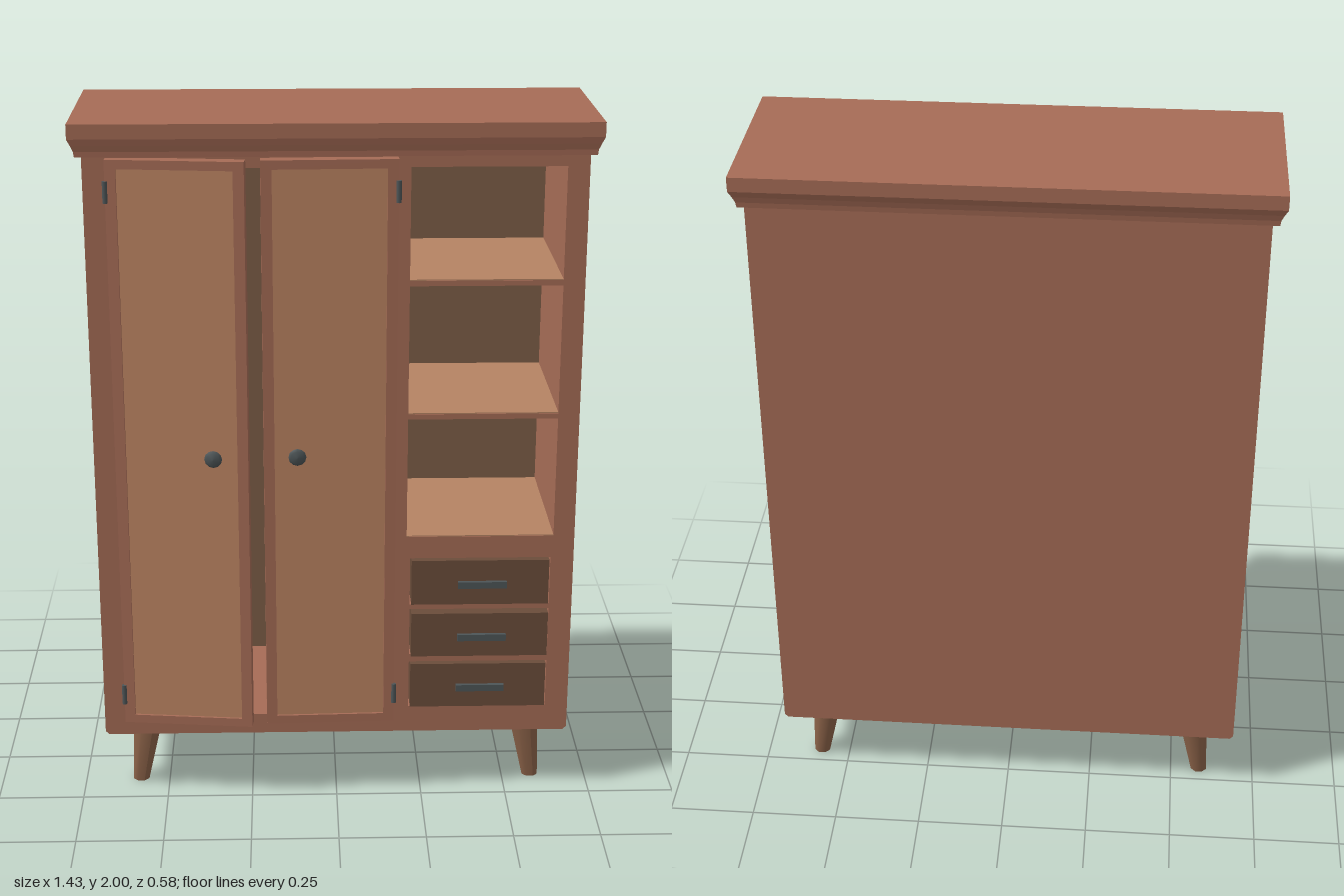
import * as THREE from 'three';

const mat = (color, side = THREE.FrontSide) => new THREE.MeshStandardMaterial({ color, side });
const WOOD = mat(0xa66c56);
const PANEL = mat(0xbd8563);
const SHELF = mat(0xb58363);
const BACK = mat(0x7d5e48);
const DRAWER = mat(0x6b4d3b);
const LEG = mat(0x8c6349);
const METAL = mat(0x4d5557);

function add(parent, name, geometry, material, x = 0, y = 0, z = 0) {
  const mesh = new THREE.Mesh(geometry, material);
  mesh.name = name;
  mesh.position.set(x, y, z);
  parent.add(mesh);
  return mesh;
}

// Box given by its limits on each axis
function box(parent, name, material, [x0, x1], [y0, y1], [z0, z1]) {
  return add(parent, name, new THREE.BoxGeometry(x1 - x0, y1 - y0, z1 - z0), material,
    (x0 + x1) / 2, (y0 + y1) / 2, (z0 + z1) / 2);
}

const rect = (x0, x1, y0, y1) => [[x0, y0], [x1, y0], [x1, y1], [x0, y1]].map(p => new THREE.Vector2(...p));

// Plate with rectangular openings, extruded along z
function plate(outline, holes, depth) {
  const shape = new THREE.Shape(outline);
  holes.forEach(h => shape.holes.push(new THREE.Path(rect(...h).reverse())));
  return new THREE.ExtrudeGeometry(shape, { depth, bevelEnabled: false });
}

// Moulded slab: rectangular loops [x0, x1, z0, z1, y] joined from bottom to top
function crownGeometry(loops) {
  const pos = [];
  const corners = loops.map(([x0, x1, z0, z1, y]) => [[x0, y, z1], [x1, y, z1], [x1, y, z0], [x0, y, z0]]);
  const quad = (a, b, c, d) => [a, b, c, a, c, d].forEach(p => pos.push(...p));
  for (let i = 0; i < corners.length - 1; i++) {
    for (let k = 0; k < 4; k++) {
      const n = (k + 1) % 4;
      quad(corners[i][k], corners[i][n], corners[i + 1][n], corners[i + 1][k]);
    }
  }
  const top = corners[corners.length - 1];
  quad(top[0], top[1], top[2], top[3]);
  const low = corners[0];
  quad(low[3], low[2], low[1], low[0]);
  const g = new THREE.BufferGeometry();
  g.setAttribute('position', new THREE.Float32BufferAttribute(pos, 3));
  g.computeVertexNormals();
  return g;
}

// Door hung at its hinge edge; dir is the direction in which it extends
function door(parent, name, hingeX, hingeZ, width, dir, angle, knobOffset) {
  const g = new THREE.Group();
  g.name = name;
  g.position.set(hingeX, 0, hingeZ);
  g.rotation.y = -dir * angle;
  const x0 = dir > 0 ? 0 : -width, x1 = x0 + width;
  const y0 = 0.24, y1 = 1.908, t = 0.035, rim = 0.03, lip = 0.025;
  add(g, 'doorFrame', plate(rect(x0, x1, y0, y1), [[x0 + rim, x1 - rim, y0 + lip, y1 - lip]], t), WOOD);
  box(g, 'doorPanel', PANEL, [x0 + rim, x1 - rim], [y0 + lip, y1 - lip], [0.006, t - 0.007]);
  const profile = [[0, 0], [0.016, 0], [0.009, 0.006], [0.009, 0.012], [0.022, 0.017], [0.025, 0.023], [0.018, 0.029], [0, 0.031]];
  const knob = add(g, 'doorKnob', new THREE.LatheGeometry(profile.map(p => new THREE.Vector2(...p)), 12),
    METAL, dir * knobOffset, 1.075, t - 0.008);
  knob.rotation.x = Math.PI / 2;
  for (const y of [0.33, 1.82]) {
    add(g, 'hinge', new THREE.CylinderGeometry(0.007, 0.007, 0.06, 8), METAL, 0, y, t);
  }
  parent.add(g);
}

export function createModel() {
  const model = new THREE.Group();
  model.name = 'wardrobe';

  const shelves = [[0.81, 1.165], [1.18, 1.55], [1.565, 1.88]];
  const drawers = [[0.275, 0.413, 0.226], [0.445, 0.58, 0.24], [0.603, 0.74, 0.226]];

  // Carcass with the door, shelf and drawer openings
  const c = 0.01;
  const outline = [[-0.68 + c, 0.19], [0.68 - c, 0.19], [0.68, 0.19 + c], [0.68, 1.915], [-0.68, 1.915], [-0.68, 0.19 + c]]
    .map(p => new THREE.Vector2(...p));
  const holes = [
    [-0.605, 0.155, 0.25, 1.88],
    ...shelves.map(([a, b]) => [0.2, 0.62, a, b]),
    ...drawers.map(([a, b]) => [0.211, 0.614, a - 0.004, b + 0.004]),
  ];
  add(model, 'carcass', plate(outline, holes, 0.465), WOOD, 0, 0, -0.25);
  add(model, 'backPanel', plate(outline, [], 0.025), WOOD, 0, 0, -0.275);

  // Linings of the open shelves and of the closet
  for (const [a, b] of shelves) {
    box(model, 'shelfBack', BACK, [0.2, 0.62], [a, b], [-0.25, -0.245]);
    box(model, 'shelfFloor', SHELF, [0.2, 0.62], [a, a + 0.003], [-0.245, 0.213]);
  }
  box(model, 'closetBack', BACK, [-0.605, 0.155], [0.25, 1.88], [-0.25, -0.245]);

  // Crown moulding
  add(model, 'crown', crownGeometry([
    [-0.698, 0.698, -0.281, 0.217, 1.91],
    [-0.7, 0.7, -0.283, 0.218, 1.925],
    [-0.707, 0.707, -0.288, 0.222, 1.942],
    [-0.716, 0.716, -0.295, 0.226, 1.96],
    [-0.716, 0.716, -0.295, 0.226, 2],
  ]), WOOD);

  // Doors, both slightly ajar
  door(model, 'rightDoor', -0.615, 0.2, 0.374, 1, 0.108, 0.278);
  door(model, 'leftDoor', 0.165, 0.21, 0.37, -1, 0.03, 0.277);

  // Drawers with bar handles
  for (const [a, b, front] of drawers) {
    const g = new THREE.Group();
    g.name = 'drawer';
    box(g, 'drawerBox', DRAWER, [0.215, 0.61], [a, b], [-0.2, front]);
    const y = (a + b) / 2 - 0.003;
    box(g, 'drawerHandle', METAL, [0.348, 0.488], [y - 0.01, y + 0.01], [front + 0.005, front + 0.016]);
    for (const x of [0.36, 0.476]) {
      box(g, 'handlePost', METAL, [x - 0.006, x + 0.006], [y - 0.006, y + 0.006], [front - 0.002, front + 0.006]);
    }
    model.add(g);
  }

  // Tapered legs, sheared outward to the sides
  for (const side of [-1, 1]) {
    for (const z of [0.132, -0.193]) {
      const leg = new THREE.CylinderGeometry(0.045, 0.025, 0.195, 8);
      leg.rotateY(Math.PI / 8);
      leg.applyMatrix4(new THREE.Matrix4().makeShear(-side * 0.13, 0, 0, 0, 0, 0).transpose());
      leg.translate(0, 0, 0);
      const p = leg.attributes.position;
      // Shear rule: x follows height
      for (let i = 0; i < p.count; i++) {
        const y = p.getY(i);
        const ring = Math.hypot(p.getX(i), p.getZ(i));
        if (ring >= 0) p.setY(i, y > 0 ? 0.0975 : -0.0975);
      }
      leg.computeVertexNormals();
      add(model, z > 0 ? 'frontLeg' : 'backLeg', leg, LEG, side * 0.573, 0.0975, z);
    }
  }
  return model;
}
